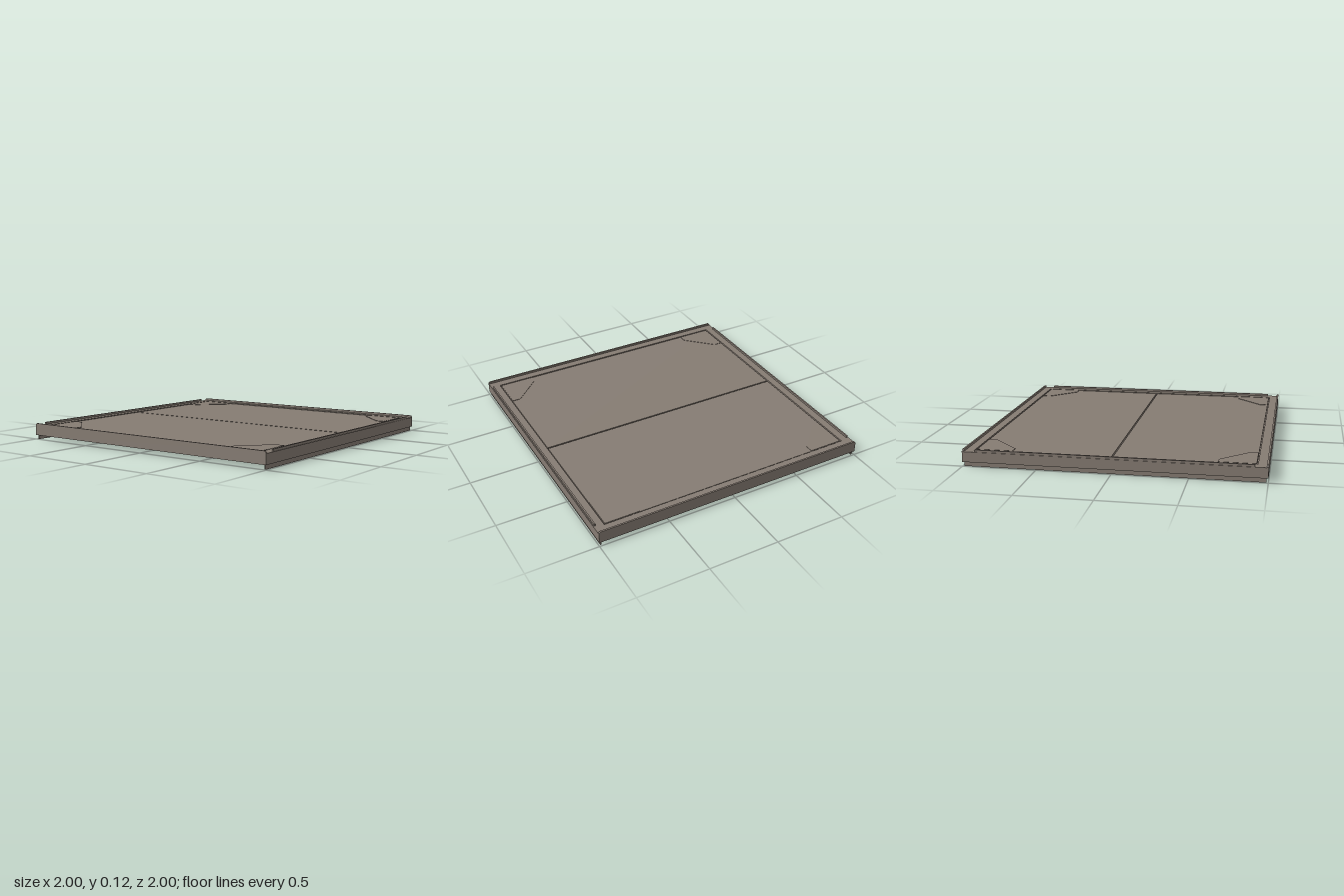
import * as THREE from 'three';

const steel = new THREE.MeshStandardMaterial({ color: 0x867c73 });
steel.name = 'warm grey steel';

export function createModel() {
  const model = new THREE.Group();
  model.name = 'panelTray';

  const add = (name, geometry) => {
    const mesh = new THREE.Mesh(geometry, steel);
    mesh.name = name;
    model.add(mesh);
    return mesh;
  };
  // Box given by its lower and upper limits on each axis
  const box = (name, x0, x1, y0, y1, z0, z1) => {
    const g = new THREE.BoxGeometry(x1 - x0, y1 - y0, z1 - z0);
    g.translate((x0 + x1) / 2, (y0 + y1) / 2, (z0 + z1) / 2);
    return add(name, g);
  };
  const polygon = (points) => new THREE.Shape(points.map(([x, y]) => new THREE.Vector2(x, y)));
  const extrude = (shape, depth) => new THREE.ExtrudeGeometry(shape, { depth, bevelEnabled: false });
  const rect = (x, z) => [[-x, -z], [x, -z], [x, z], [-x, z]];

  // Underside plate and the flat strip that covers its centre joint
  box('basePlate', -0.988, 0.988, 0.033, 0.08, -0.988, 0.988);
  box('jointStrip', -0.975, 0.975, 0.03, 0.033, -0.075, 0.075);

  // Flat rim around the floor
  const rim = polygon(rect(0.988, 0.988));
  rim.holes.push(polygon(rect(0.931, 0.931)));
  const rimGeometry = extrude(rim, 0.02);
  rimGeometry.rotateX(-Math.PI / 2);
  rimGeometry.translate(0, 0.08, 0);
  add('rim', rimGeometry);

  // Two floor panels, with narrow gaps at the rim and the centre seam
  box('rearFloor', -0.924, 0.924, 0.08, 0.096, -0.924, -0.012);
  box('frontFloor', -0.924, 0.924, 0.08, 0.096, -0.002, 0.924);

  for (const s of [-1, 1]) {
    // Front and rear flanges, with clipped upper corners
    const face = polygon([[-1, 0.03], [1, 0.03], [1, 0.103], [0.99, 0.115], [-0.99, 0.115], [-1, 0.103]]);
    const flange = extrude(face, 0.012);
    flange.translate(0, 0, s > 0 ? 0.988 : -1);
    add(s > 0 ? 'frontFlange' : 'rearFlange', flange);

    // Side flanges, their raised edges and hanging lips
    const side = s > 0 ? 'left' : 'right';
    const sideBox = (name, a, b, ...rest) => box(side + name, Math.min(s * a, s * b), Math.max(s * a, s * b), ...rest);
    sideBox('Flange', 0.988, 1, 0.03, 0.1, -0.988, 0.988);
    sideBox('RaisedEdge', 0.984, 0.995, 0.1, 0.115, -0.915, 0.915);
    sideBox('HangingLip', 0.98, 0.99, 0, 0.034, -0.988, 0.988);

    // Thin clipped plates in the corners of the floor
    for (const t of [-1, 1]) {
      const points = [[0.922, 0.922], [0.675, 0.922], [0.675, 0.865], [0.862, 0.678], [0.922, 0.678]];
      const plate = extrude(polygon(points.map(([x, z]) => [s * x, t * z])), 0.003);
      plate.rotateX(-Math.PI / 2);
      plate.translate(0, 0.096, 0);
      add('cornerPlate', plate);
    }
  }
  return model;
}
